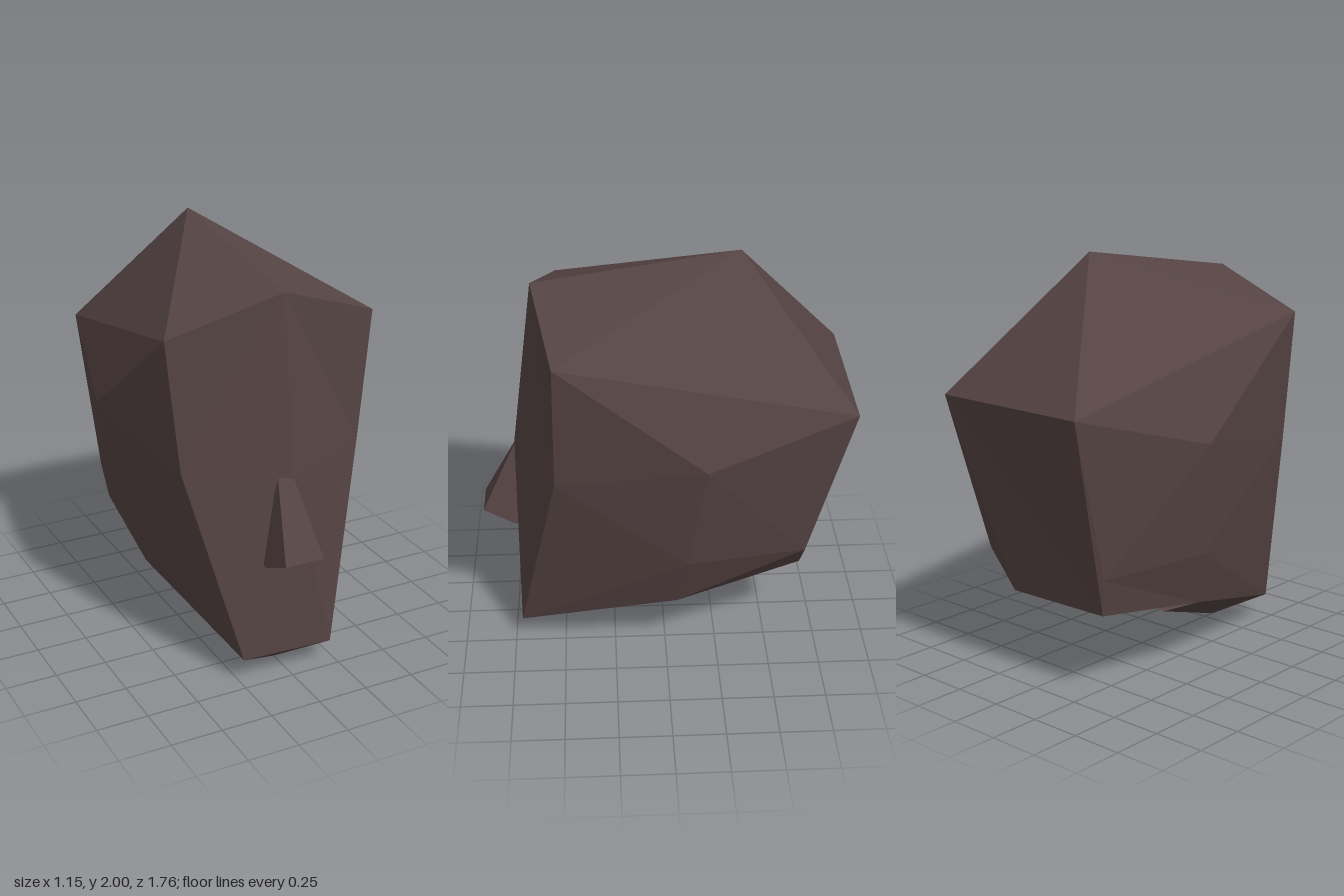
import * as THREE from 'three';

// Builds a faceted surface from named corners; each face is turned outward from the centre.
function facetedSurface(points, faces, centre) {
  const positions = [];
  const a = new THREE.Vector3(), b = new THREE.Vector3();
  for (const face of faces) {
    const corners = face.map((name) => points[name]);
    for (let i = 1; i < corners.length - 1; i++) {
      const tri = [corners[0], corners[i], corners[i + 1]];
      a.subVectors(tri[1], tri[0]);
      b.subVectors(tri[2], tri[0]);
      const outward = tri[0].clone().add(tri[1]).add(tri[2]).divideScalar(3).sub(centre);
      if (a.cross(b).dot(outward) < 0) tri.reverse();
      tri.forEach((p) => positions.push(p.x, p.y, p.z));
    }
  }
  const geometry = new THREE.BufferGeometry();
  geometry.setAttribute('position', new THREE.Float32BufferAttribute(positions, 3));
  geometry.computeVertexNormals();
  return geometry;
}

const v = (x, y, z) => new THREE.Vector3(x, y, z);

export function createModel() {
  // Double sided, as the neck is open
  const skin = new THREE.MeshStandardMaterial({ color: 0x554443, side: THREE.DoubleSide });
  skin.name = 'dark skin';
  skin.flatShading = true;

  // Corners on the centre line
  const points = {
    crown: v(0, 2, -0.36),
    hairline: v(0, 1.855, 0.61),
    bridge: v(0, 1.02, 0.72),
    chin: v(0, 0, 0.56),
    throat: v(0, 0.12, 0.17),
  };
  // Paired corners, left then right; the two halves differ slightly
  const pairs = {
    temple: [v(0.515, 1.67, 0.51), v(-0.53, 1.68, 0.505)],
    brow: [v(0.45, 1.04, 0.52), v(-0.465, 1.05, 0.52)],
    ear: [v(0.575, 1.16, -0.18), v(-0.575, 1.16, -0.18)],
    back: [v(0.43, 1.36, -0.875), v(-0.4, 1.36, -0.88)],
    nape: [v(0.37, 0.59, -0.67), v(-0.37, 0.59, -0.67)],
    cheek: [v(0.48, 0.6, -0.1), v(-0.48, 0.6, -0.1)],
    neck: [v(0.21, 0.41, -0.67), v(-0.34, 0.41, -0.65)],
    jaw: [v(0.385, 0.32, -0.05), v(-0.395, 0.325, -0.05)],
    chinCorner: [v(0.22, 0.11, 0.715), v(-0.24, 0.125, 0.71)],
  };
  for (const [name, [left, right]] of Object.entries(pairs)) {
    points[name] = left;
    points[name + 'R'] = right;
  }

  // Faces of the left half, then mirrored
  const half = [
    ['crown', 'hairline', 'temple'], ['crown', 'temple', 'back'], ['temple', 'ear', 'back'],
    ['hairline', 'temple', 'brow'], ['hairline', 'brow', 'bridge'], ['bridge', 'brow', 'chinCorner'],
    ['temple', 'ear', 'brow'], ['ear', 'cheek', 'brow'], ['brow', 'cheek', 'chinCorner'],
    ['cheek', 'jaw', 'chinCorner'], ['ear', 'back', 'nape'], ['ear', 'nape', 'cheek'],
    ['cheek', 'nape', 'jaw'], ['nape', 'neck', 'jaw'], ['back', 'neck', 'nape'],
    ['jaw', 'throat', 'chinCorner'], ['throat', 'chin', 'chinCorner'],
  ];
  const mirrored = half.map((face) => face.map((n) => (n in pairs ? n + 'R' : n)));
  // Faces that span the centre line; the neck stays open between jaw, throat and neck corners
  const spanning = [
    ['crown', 'back', 'backR'], ['back', 'neck', 'neckR', 'backR'],
    ['bridge', 'chinCorner', 'chinCornerR'], ['chin', 'chinCorner', 'chinCornerR'],
  ];
  const head = new THREE.Mesh(
    facetedSurface(points, [...half, ...mirrored, ...spanning], v(0, 0.9, 0.1)), skin);
  head.name = 'head';

  // Nose wedge, slightly off centre, sunk a little into the face
  const nosePoints = {
    topL: v(0, 1.02, 0.715), topR: v(-0.07, 1.02, 0.7),
    tipL: v(0.07, 0.67, 0.885), tipR: v(-0.125, 0.67, 0.885),
    baseL: v(0.09, 0.6, 0.735), baseR: v(-0.14, 0.6, 0.735),
    rootL: v(0.09, 0.6, 0.66), rootR: v(-0.14, 0.6, 0.66),
  };
  const noseFaces = [
    ['topL', 'topR', 'tipR', 'tipL'], ['tipL', 'tipR', 'baseR', 'baseL'],
    ['topL', 'tipL', 'baseL'], ['topR', 'tipR', 'baseR'],
    ['baseL', 'baseR', 'rootR', 'rootL'],
    ['topL', 'baseL', 'rootL'], ['topR', 'baseR', 'rootR'],
  ];
  const nose = new THREE.Mesh(facetedSurface(nosePoints, noseFaces, v(-0.025, 0.72, 0.74)), skin);
  nose.name = 'nose';

  const model = new THREE.Group();
  model.name = 'low poly head';
  model.add(head, nose);
  return model;
}
